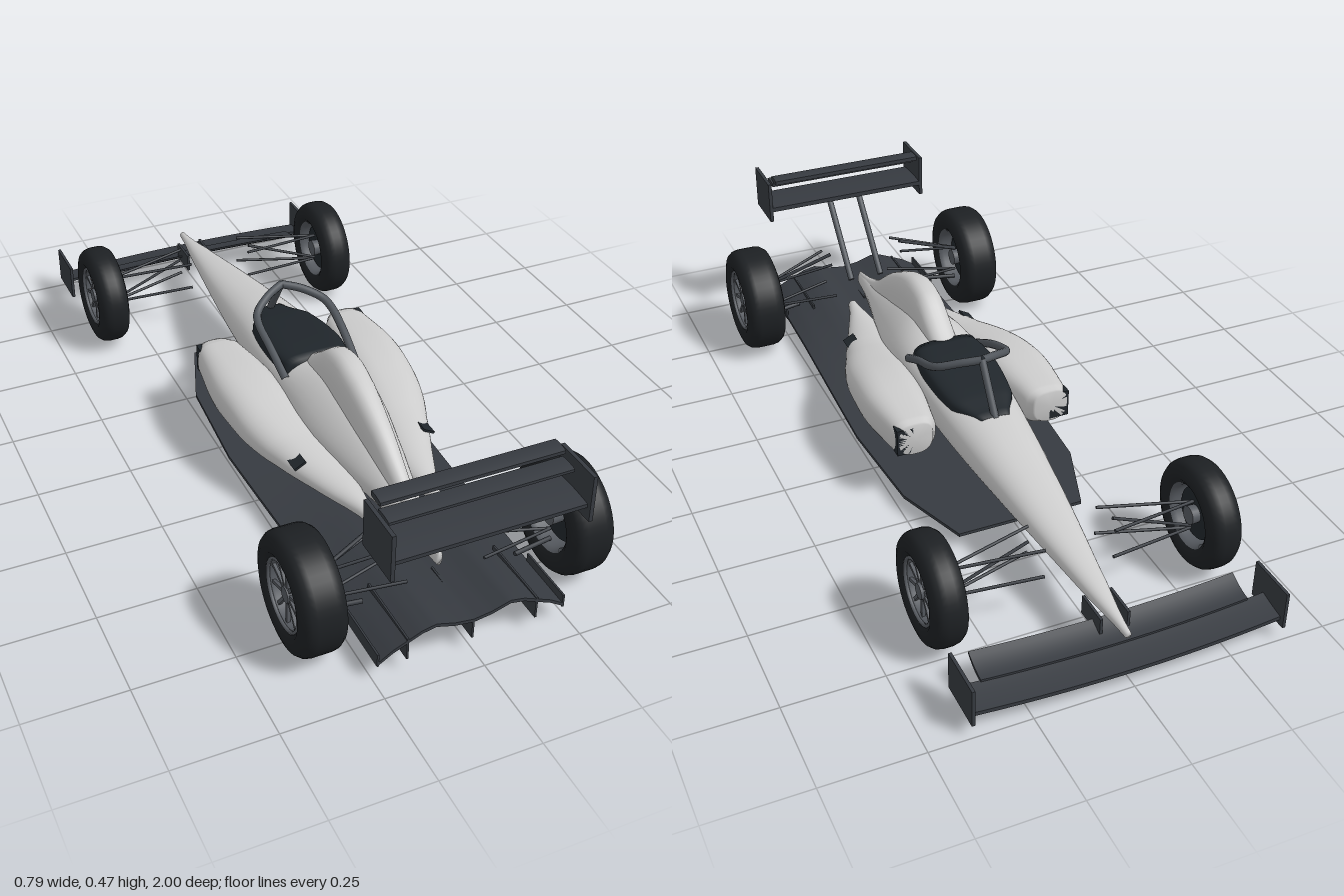
import * as THREE from 'three';

const mat = (color, side = THREE.FrontSide) => new THREE.MeshStandardMaterial({ color, side });
const paint = mat(0xcccccc), carbon = mat(0x363a40), dark = mat(0x20262b), steel = mat(0x50555b);
const rubber = mat(0x1d2023, THREE.DoubleSide), rimMat = mat(0x565a60, THREE.DoubleSide), orange = mat(0xb85526);

function add(parent, name, geo, material, x = 0, y = 0, z = 0) {
  const m = new THREE.Mesh(geo, material);
  m.name = name;
  m.position.set(x, y, z);
  parent.add(m);
  return m;
}
const box = (w, h, d) => new THREE.BoxGeometry(w, h, d);

// Value of a [key, value] table at t
function lookup(table, t) {
  for (let i = 1; i < table.length; i++) {
    const [a, va] = table[i - 1], [b, vb] = table[i];
    if (t <= b) return va + (vb - va) * Math.max(0, (t - a) / (b - a));
  }
  return table[table.length - 1][1];
}

// Smoothly resample a list of section parameters
function resample(rows, steps) {
  const out = [];
  for (let i = 0; i < rows.length - 1; i++)
    for (let s = 0; s < steps; s++) {
      const t = s / steps, p = rows[Math.max(0, i - 1)], a = rows[i], b = rows[i + 1];
      const q = rows[Math.min(rows.length - 1, i + 2)];
      out.push(a.map((_, k) => {
        const m0 = (b[k] - p[k]) / 2, m1 = (q[k] - a[k]) / 2, t2 = t * t, t3 = t2 * t;
        return k === 0 ? a[0] + (b[0] - a[0]) * t : (2 * t3 - 3 * t2 + 1) * a[k] + (t3 - 2 * t2 + t) * m0 + (3 * t2 - 2 * t3) * b[k] + (t3 - t2) * m1;
      }));
    }
  out.push(rows[rows.length - 1]);
  return out;
}

// Skin over rounded sections: [z, xMin, xMax, yBottom, yWidest, yTop, squareness]
function loft(rows, n = 36) {
  const secs = resample(rows, 4), pos = [], idx = [];
  for (const [z, x0, x1, yb, yw, yt, e] of secs)
    for (let j = 0; j < n; j++) {
      const a = (j / n) * Math.PI * 2, c = Math.cos(a), s = Math.sin(a);
      const pw = (v, k) => Math.sign(v) * Math.abs(v) ** (2 / k);
      const k = s < 0 ? 2.5 : e;
      pos.push((x0 + x1) / 2 + ((x1 - x0) / 2) * pw(c, k), yw + (s < 0 ? yw - yb : yt - yw) * pw(s, k), z);
    }
  const last = secs.length - 1;
  for (let i = 0; i < last; i++)
    for (let j = 0; j < n; j++) {
      const a = i * n + j, b = i * n + (j + 1) % n;
      idx.push(a, b, a + n, b, b + n, a + n);
    }
  for (const [i, flip] of [[0, true], [last, false]]) {
    const [z, x0, x1, , yw] = secs[i], c = pos.length / 3;
    pos.push((x0 + x1) / 2, yw, z);
    for (let j = 0; j < n; j++) {
      const a = i * n + j, b = i * n + (j + 1) % n;
      idx.push(c, flip ? b : a, flip ? a : b);
    }
  }
  const g = new THREE.BufferGeometry();
  g.setAttribute('position', new THREE.Float32BufferAttribute(pos, 3));
  g.setIndex(idx);
  g.computeVertexNormals();
  return g;
}
const centred = rows => loft(rows.map(([z, w, ...r]) => [z, -w, w, ...r]));

// Move the vertices of a geometry by a rule
function bend(geo, rule) {
  const p = geo.attributes.position, v = new THREE.Vector3();
  for (let i = 0; i < p.count; i++) {
    rule(v.fromBufferAttribute(p, i));
    p.setXYZ(i, v.x, v.y, v.z);
  }
  geo.computeVertexNormals();
  return geo;
}

// Straight round rod between two points
function rod(parent, name, a, b, r, material) {
  const A = new THREE.Vector3(...a), B = new THREE.Vector3(...b), d = B.clone().sub(A);
  const m = add(parent, name, new THREE.CylinderGeometry(r, r, d.length(), 10), material);
  m.position.copy(A.add(B).multiplyScalar(0.5));
  m.quaternion.setFromUnitVectors(new THREE.Vector3(0, 1, 0), d.normalize());
}

// Wing element: slight sweep towards the tips, tilted chord
function wing(span, chord, thick, sweep, rise) {
  return bend(new THREE.BoxGeometry(span, thick, chord, 24, 1, 6), v => {
    const u = v.z / chord + 0.5;
    v.y = v.y * (0.35 + 0.65 * Math.sin(Math.PI * Math.min(1, 0.2 + 0.7 * u))) + rise * u * u;
    v.z += sweep * (2 * v.x / span) ** 2;
  });
}

function wheel(R, width) {
  const g = new THREE.Group(), axle = new THREE.Group(), h = width / 2, ri = R * 0.6;
  axle.rotation.z = -Math.PI / 2;
  g.add(axle);
  const lathe = pts => new THREE.LatheGeometry(pts.map(p => new THREE.Vector2(...p)), 48);
  add(axle, 'tyre', lathe([[ri, -h + .008], [ri + .012, -h], [R - .03, -h], [R - .012, -h + .006], [R - .003, -h + .018], [R, -h + .032],
    [R, h - .032], [R - .003, h - .018], [R - .012, h - .006], [R - .03, h], [ri + .012, h], [ri, h - .008]]), rubber);
  add(axle, 'rimBarrel', lathe([[ri, -h + .008], [ri - .008, -h + .02], [ri - .008, h - .02], [ri, h - .008]]), rimMat);
  const lip = add(axle, 'rimLip', new THREE.TorusGeometry(ri - .004, .005, 8, 48), rimMat, 0, h - .01);
  lip.rotation.x = Math.PI / 2;
  add(axle, 'brakeDisc', new THREE.CylinderGeometry(ri * .8, ri * .8, .012, 36), dark, 0, -.005);
  add(axle, 'hub', new THREE.CylinderGeometry(.02, .024, width * .75, 20), rimMat);
  for (let i = 0; i < 10; i++) {
    const arm = new THREE.Group();
    arm.rotation.y = (i / 10) * Math.PI * 2;
    add(arm, 'spoke', box(ri - .02, .008, .009), rimMat, ri / 2 + .006, h - .022);
    axle.add(arm);
  }
  add(g, 'brakeCaliper', box(.03, .05, .022), orange, .005, 0, -ri * .55);
  return g;
}

// Everything that appears once on each side, built on +x
function sideParts() {
  const g = new THREE.Group();
  add(g, 'sidepod', loft([
    [-.17, .145, .238, .145, .19, .232, 3], [-.14, .125, .25, .128, .185, .24, 3], [0, .1, .267, .12, .18, .248, 2.8], [.1, .09, .264, .12, .175, .243, 2.6],
    [.2, .08, .25, .12, .165, .225, 2.4], [.3, .07, .215, .12, .155, .203, 2.2], [.45, .06, .155, .125, .15, .18, 2], [.6, .075, .1, .135, .15, .165, 2]]), paint);
  add(g, 'sidepodIntake', box(.055, .075, .03), dark, .215, .188, -.155);
  add(g, 'sidepodSlot', box(.035, .006, .07), dark, .178, .181, .345).rotation.z = -.5;
  // Wheels
  const front = wheel(.14, .087), rear = wheel(.15, .112);
  front.name = 'frontWheel';
  front.position.set(.353, .143, -.665);
  rear.name = 'rearWheel';
  rear.position.set(.341, .15, .757);
  g.add(front, rear);
  // Suspension
  for (const dz of [-.048, .048]) {
    rod(g, 'frontUpperArm', [.33, .185, -.667], [.09, .205, -.667 + dz], .004, carbon);
    rod(g, 'frontLowerArm', [.33, .105, -.667], [.09, .127, -.667 + dz], .004, carbon);
    rod(g, 'rearUpperArm', [.31, .183, .757], [.11, .235, .757 + dz], .004, carbon);
    rod(g, 'rearLowerArm', [.31, .108, .757], [.1, .127, .757 + dz], .004, carbon);
  }
  rod(g, 'frontPushrod', [.33, .11, -.665], [.11, .2, -.665], .004, carbon);
  rod(g, 'rearPushrod', [.31, .18, .757], [.11, .265, .72], .005, carbon);
  rod(g, 'rearTrackRod', [.31, .08, .76], [.2, .084, .78], .006, carbon);
  // Wing plates and supports
  add(g, 'frontEndplate', box(.008, .1, .13), carbon, .392, .08, -.93);
  add(g, 'frontWingPylon', box(.007, .05, .09), carbon, .035, .098, -.85);
  add(g, 'rearEndplate', box(.01, .122, .133), carbon, .241, .394, .93);
  rod(g, 'rearWingStrut', [.047, .165, .72], [.047, .36, .9], .009, steel);
  // Diffuser fences
  add(g, 'outerFence', box(.005, .035, .16), carbon, .238, .055, .86);
  add(g, 'innerFence', box(.005, .06, .2), carbon, .165, .062, .84);
  // Cockpit hoop arm
  const pts = [[0, .37, -.15], [.05, .358, -.125], [.094, .338, -.09], [.105, .325, -.06], [.105, .295, .02], [.1, .25, .11]];
  const path = new THREE.CatmullRomCurve3(pts.map(p => new THREE.Vector3(...p)));
  add(g, 'hoopArm', new THREE.TubeGeometry(path, 30, .011, 10), steel);
  return g;
}

export function createModel() {
  const car = new THREE.Group();
  car.name = 'racingCar';

  // Nose and tub
  add(car, 'tub', centred([
    [-.955, .008, .107, .116, .125, 2], [-.8, .03, .108, .126, .15, 2.2], [-.6, .058, .115, .145, .185, 2.3], [-.4, .083, .12, .16, .222, 2.3],
    [-.24, .1, .12, .175, .25, 2.3], [-.1, .111, .12, .19, .264, 2.5], [.08, .116, .12, .2, .283, 2.2], [.25, .113, .12, .2, .312, 1.5],
    [.45, .075, .12, .18, .255, 1.5], [.6, .04, .115, .165, .2, 1.7], [.77, .009, .113, .135, .155, 2]]), paint);
  add(car, 'engineCover', centred([
    [.06, .034, .2, .25, .28, 2.5], [.13, .04, .2, .28, .325, 2.5], [.21, .043, .2, .31, .382, 2.5], [.31, .043, .2, .31, .383, 2.5],
    [.47, .033, .17, .25, .308, 2.4], [.62, .021, .13, .17, .205, 2.2], [.77, .008, .112, .135, .158, 2]]), paint);
  add(car, 'cockpit', centred([
    [-.237, .04, .235, .242, .254, 3], [-.15, .086, .22, .24, .272, 3.5], [0, .1, .225, .25, .29, 4], [.1, .09, .23, .25, .294, 4]]), dark);
  rod(car, 'hoopPillar', [0, .372, -.15], [0, .245, -.235], .01, steel);

  // Floor sweeping up into a double-arched diffuser
  const halfWidth = [[-.4, .17], [-.2, .24], [.1, .26], [.6, .243], [.94, .237]];
  const arch = [[0, .045], [.2, .052], [.4, .067], [.55, .06], [.85, .028], [1, .005]];
  add(car, 'floor', bend(new THREE.BoxGeometry(2, .009, 1.34, 40, 1, 67), v => {
    const z = v.z + .27, u = v.x;
    v.y += .04 + THREE.MathUtils.smoothstep(z, .2, 1) * lookup(arch, Math.abs(u));
    v.x = u * lookup(halfWidth, z);
    v.z = z;
  }), carbon);
  add(car, 'centreFence', box(.005, .05, .2), carbon, 0, .058, .84);

  // Front wing
  add(car, 'frontWing', wing(.78, .075, .014, .018, .015), carbon, 0, .05, -.962);
  add(car, 'frontFlap', wing(.68, .07, .01, .014, .025), carbon, 0, .07, -.894);

  // Rear wing
  add(car, 'rearWing', wing(.475, .12, .018, 0, 0), carbon, 0, .37, .925);
  add(car, 'rearLowerFlap', wing(.45, .05, .013, 0, 0), carbon, 0, .438, .915);
  add(car, 'rearUpperFlap', wing(.45, .045, .016, 0, 0), carbon, 0, .46, .877);

  // Left side and its mirror image
  const left = sideParts(), right = sideParts();
  left.name = 'leftSide';
  right.name = 'rightSide';
  right.scale.x = -1;
  car.add(left, right);
  return car;
}
